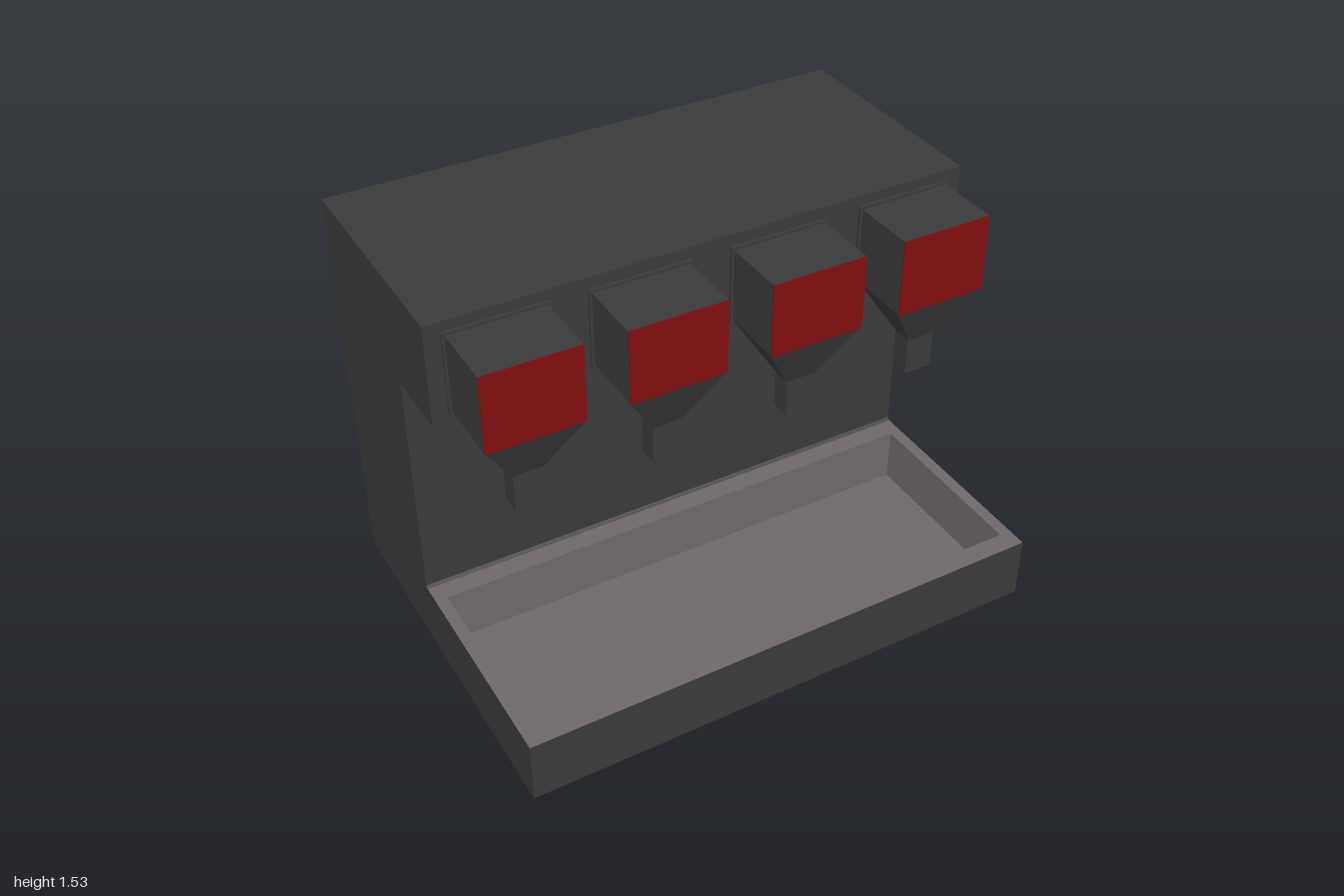
import * as THREE from 'three';

const paint = (color) => new THREE.MeshStandardMaterial({ color, flatShading: true });

// Loft through horizontal rectangles [x0, x1, z0, z1, y], optionally capped at either end
function loft(rings, capStart, capEnd) {
  const pos = [];
  const quad = (a, b, c, d) => pos.push(...a, ...b, ...c, ...a, ...c, ...d);
  const loops = rings.map(([x0, x1, z0, z1, y]) => [[x0, y, z1], [x1, y, z1], [x1, y, z0], [x0, y, z0]]);
  for (let r = 0; r < loops.length - 1; r++) {
    for (let i = 0; i < 4; i++) {
      const j = (i + 1) % 4;
      quad(loops[r][i], loops[r][j], loops[r + 1][j], loops[r + 1][i]);
    }
  }
  if (capStart) quad(...[...loops[0]].reverse());
  if (capEnd) quad(...loops[loops.length - 1]);
  const geometry = new THREE.BufferGeometry();
  geometry.setAttribute('position', new THREE.Float32BufferAttribute(pos, 3));
  geometry.computeVertexNormals();
  return geometry;
}

export function createModel() {
  const model = new THREE.Group();
  model.name = 'drinkDispenser';
  const dark = paint(0x3a3a3a);
  const red = paint(0x820e0e);
  const grey = paint(0x6e6868);

  const add = (parent, name, geometry, material) => {
    const mesh = new THREE.Mesh(geometry, material);
    mesh.name = name;
    parent.add(mesh);
    return mesh;
  };

  // Housing: side profile (z, y) of the base plate, column and overhanging head
  const profile = new THREE.Shape([
    [-0.73, 0], [0.73, 0], [0.73, 0.04], [-0.12, 0.04], [-0.12, 0.245], [-0.13, 0.255],
    [-0.13, 1.14], [-0.12, 1.15], [0.145, 1.15], [0.145, 1.53], [-0.73, 1.53],
  ].map(([z, y]) => new THREE.Vector2(z, y)));
  const housing = new THREE.ExtrudeGeometry(profile, { depth: 2, bevelEnabled: false });
  housing.rotateY(-Math.PI / 2).translate(1, 0, 0);
  add(model, 'housing', housing, dark);

  // Outer walls of the base
  add(model, 'baseWalls', loft([[-1, 1, -0.13, 0.73, 0.04], [-1, 1, -0.13, 0.73, 0.245]]), dark);

  // Drip tray: rim, sloping inner walls and floor
  add(model, 'dripTray', loft([
    [-1, 1, -0.13, 0.73, 0.245],
    [-0.955, 0.955, -0.045, 0.655, 0.245],
    [-0.945, 0.945, -0.035, 0.645, 0.045],
  ], false, true), grey);

  // Four taps, mirrored in pairs: [centre x, half width, box bottom, box top]
  const taps = [[0.2595, 0.177, 1.2, 1.475], [0.761, 0.173, 1.195, 1.482]];
  for (const side of [-1, 1]) {
    for (const [cx, half, bottom, top] of taps) {
      const tap = new THREE.Group();
      tap.name = 'tap';
      tap.position.x = side * cx;
      model.add(tap);

      // Nozzle, funnel and square head in one piece
      add(tap, 'tapBody', loft([
        [-0.054, 0.054, 0.24, 0.315, 0.857],
        [-0.054, 0.054, 0.24, 0.315, 1.0],
        [-half, half, 0.155, 0.398, bottom],
        [-half, half, 0.155, 0.398, top],
      ], true, true), dark);

      // Coloured front panel
      const panel = add(tap, 'frontPanel', new THREE.BoxGeometry(half * 2, top - bottom, 0.006), red);
      panel.position.set(0, (top + bottom) / 2, 0.4);

      // Mounting plate against the housing
      const plate = add(tap, 'mountingPlate', new THREE.BoxGeometry(half * 2 + 0.02, top - bottom + 0.02, 0.02), dark);
      plate.position.set(0, (top + bottom) / 2, 0.147);
    }
  }
  return model;
}
